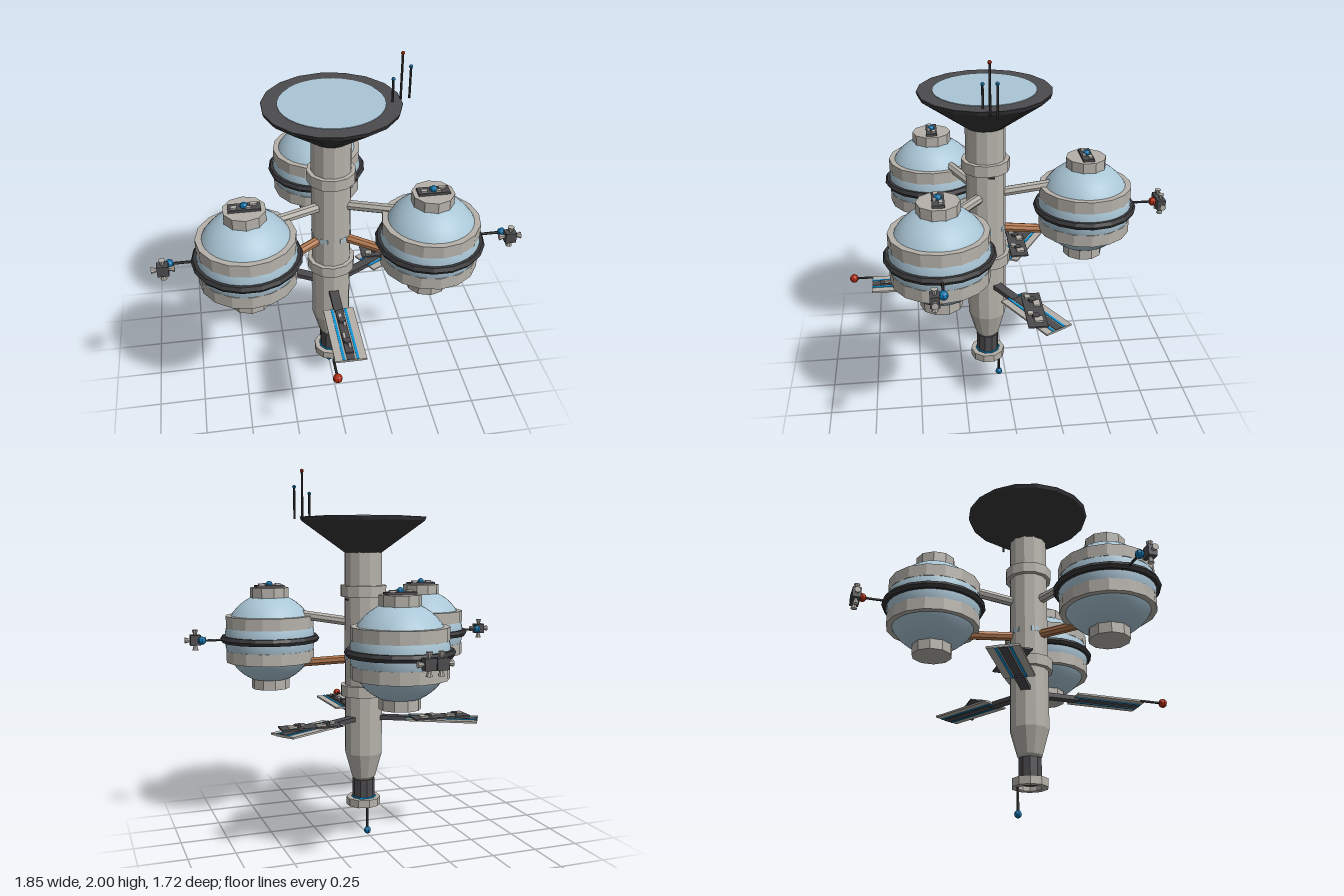
import * as THREE from 'three';

const mat = (name, color) => {
  const m = new THREE.MeshStandardMaterial({ color });
  m.name = name;
  return m;
};

export function createModel() {
  const M = {
    hull: mat('hull grey', 0xb5b1aa),
    dark: mat('dark grey', 0x4c4a4d),
    black: mat('charcoal', 0x363538),
    pale: mat('pale blue', 0xaac6d6),
    blue: mat('stripe blue', 0x0a96d8),
    beacon: mat('beacon blue', 0x0c72aa),
    red: mat('beacon red', 0xb02a10),
    copper: mat('copper', 0xb4794f),
  };
  M.black.side = THREE.DoubleSide;
  const Z0 = 0.105; // depth of the central column axis
  const root = new THREE.Group();
  root.name = 'spaceStation';

  const add = (parent, name, geo, material, x = 0, y = 0, z = 0, smooth = false) => {
    let g = geo;
    if (!smooth) {
      g = geo.index ? geo.toNonIndexed() : geo;
      g.computeVertexNormals(); // crisp facets
    }
    const m = new THREE.Mesh(g, material);
    m.name = name;
    m.position.set(x, y, z);
    parent.add(m);
    return m;
  };
  const box = (p, name, m, w, h, d, x, y, z) => add(p, name, new THREE.BoxGeometry(w, h, d), m, x, y, z);
  const cyl = (p, name, m, rt, rb, y0, y1, n, x = 0, z = 0) =>
    add(p, name, new THREE.CylinderGeometry(rt, rb, y1 - y0, n), m, x, (y0 + y1) / 2, z);
  const ball = (p, name, m, r, x, y, z) => add(p, name, new THREE.SphereGeometry(r, 8, 6), m, x, y, z);
  // cylinder between two points
  const rod = (p, name, m, a, b, r, n = 6, r2 = r) => {
    const A = new THREE.Vector3(...a), B = new THREE.Vector3(...b);
    const d = B.clone().sub(A), mid = A.clone().add(B).multiplyScalar(0.5);
    const mesh = add(p, name, new THREE.CylinderGeometry(r2, r, d.length(), n), m, mid.x, mid.y, mid.z);
    mesh.quaternion.setFromUnitVectors(new THREE.Vector3(0, 1, 0), d.normalize());
    return mesh;
  };

  // central column
  const core = new THREE.Group();
  core.name = 'core';
  core.position.z = Z0;
  root.add(core);
  cyl(core, 'column', M.hull, 0.104, 0.104, 0.46, 1.58, 12);
  cyl(core, 'columnTaper', M.hull, 0.104, 0.066, 0.325, 0.46, 12);
  cyl(core, 'taperCollar', M.hull, 0.066, 0.054, 0.31, 0.325, 12);
  cyl(core, 'upperCollar', M.hull, 0.127, 0.127, 1.33, 1.39, 12);
  cyl(core, 'lowerCollar', M.hull, 0.127, 0.127, 0.785, 0.845, 12);
  cyl(core, 'engineNeck', M.dark, 0.062, 0.062, 0.2, 0.31, 10);
  cyl(core, 'engineTrim', M.blue, 0.068, 0.068, 0.2, 0.21, 10);
  // ring nozzle, open underneath
  const nozzle = [[0.06, 0.203], [0.06, 0.16], [0.095, 0.16], [0.095, 0.203], [0.06, 0.203]];
  add(core, 'nozzleRing', new THREE.LatheGeometry(nozzle.map(([x, y]) => new THREE.Vector2(x, y)), 10), M.hull);
  cyl(core, 'nozzleGlow', M.blue, 0.058, 0.058, 0.19, 0.197, 10);
  cyl(core, 'nozzleThroat', M.black, 0.045, 0.045, 0.18, 0.195, 10);
  rod(core, 'keelAntenna', M.black, [0, 0.2, -0.065], [0, 0.03, -0.065], 0.007);
  ball(core, 'keelBeacon', M.beacon, 0.02, 0, 0.025, -0.065);
  box(core, 'serviceSlot', M.black, 0.008, 0.008, 0.036, 0.102, 1.315, -0.02);
  for (let i = 0; i < 6; i++) {
    const a = (i + 0.5) * Math.PI / 3;
    const w = box(core, 'columnWindow', M.pale, 0.04, 0.025, 0.006, Math.sin(a) * 0.1, 1.0, Math.cos(a) * 0.1);
    w.rotation.y = a;
  }

  // dish with glazed top
  const dish = [[0.1, 1.565], [0.335, 1.735], [0.342, 1.755], [0.255, 1.752]];
  add(core, 'dish', new THREE.LatheGeometry(dish.map(([x, y]) => new THREE.Vector2(x, y)), 18), M.black);
  add(core, 'dishRim', new THREE.RingGeometry(0.25, 0.338, 18).rotateX(-Math.PI / 2).rotateY(Math.PI / 2), M.dark, 0, 1.757, 0);
  add(core, 'dishGlass', new THREE.CylinderGeometry(0.262, 0.262, 0.006, 32), M.pale, 0, 1.757, 0);
  for (const [x, z, top, m] of [[0.29, 0.035, 1.875, M.beacon], [0.337, 0.005, 1.99, M.red], [0.388, -0.025, 1.905, M.beacon]]) {
    rod(core, 'mast', M.black, [x, 1.74, z], [x, top, z], 0.006);
    ball(core, 'mastBeacon', m, 0.01, x, top, z);
  }

  // cluster of four manoeuvring nozzles on a block
  const thruster = (x, y, z) => {
    const g = new THREE.Group();
    g.name = 'thrusterCluster';
    g.position.set(x, y, z);
    root.add(g);
    box(g, 'thrusterBlock', M.dark, 0.056, 0.056, 0.045, 0, 0, 0);
    for (const [dx, dy] of [[1, 0], [-1, 0], [0, 1], [0, -1]])
      rod(g, 'thrusterNozzle', M.hull, [dx * 0.026, dy * 0.026, 0], [dx * 0.056, dy * 0.056, 0], 0.008, 8, 0.017);
  };

  // three spherical modules
  const Y = 1.09;
  for (const a of [Math.PI, Math.PI / 3, -Math.PI / 3]) {
    const dx = Math.sin(a), dz = Math.cos(a);
    const back = Math.abs(dx) < 0.1;
    const g = new THREE.Group();
    g.name = 'sphereModule';
    g.position.set(dx * 0.53, Y, Z0 + dz * 0.53);
    root.add(g);
    add(g, 'sphere', new THREE.SphereGeometry(0.25, 32, 20), M.pale, 0, 0, 0, true);
    for (const s of [-1, 1]) {
      cyl(g, 'band', M.hull, 0.246, 0.246, s * 0.095 - 0.033, s * 0.095 + 0.033, 16);
      cyl(g, 'polarCap', M.hull, 0.106, 0.106, s * 0.25 - 0.032, s * 0.25 + 0.032, 10);
    }
    const ring = add(g, 'equatorRing', new THREE.TorusGeometry(0.255, 0.021, 6, 18), M.black);
    ring.rotation.x = Math.PI / 2;
    // hatch equipment on the upper cap
    box(g, 'hatchPlate', M.dark, 0.157, 0.014, 0.06, 0, 0.288, 0);
    for (const [x, z, w, d] of [[-0.05, 0.01, 0.03, 0.022], [0.045, -0.012, 0.035, 0.02], [0.02, 0.016, 0.025, 0.016]])
      box(g, 'hatchUnit', M.hull, w, 0.01, d, x, 0.299, z);
    ball(g, 'hatchBeacon', M.beacon, 0.02, 0, 0.298, 0);
    // side boom with beacon
    const bx = back ? 0 : Math.sign(dx), bz = back ? -1 : 0;
    rod(g, 'boom', M.black, [bx * 0.24, 0, bz * 0.24], [bx * 0.38, 0, bz * 0.38], 0.007);
    ball(g, 'boomBeacon', back ? M.red : M.beacon, 0.023, bx * 0.378, 0, bz * 0.378);
    if (back) for (const s of [-1, 1]) thruster(s * 0.03, Y, -0.838);
    else thruster(bx * 0.868, Y, 0.41);
    // struts to the column
    rod(core, 'upperStrut', M.hull, [dx * 0.06, 1.188, dz * 0.06], [dx * 0.4, 1.23, dz * 0.4], 0.027, 8);
    rod(core, 'lowerStrut', M.copper, [dx * 0.06, 0.985, dz * 0.06], [dx * 0.4, 0.95, dz * 0.4], 0.025, 8);
  }

  // three radial wings, each local +z pointing outward
  for (const a of [0, 2 * Math.PI / 3, -2 * Math.PI / 3]) {
    const g = new THREE.Group();
    g.name = 'wing';
    g.position.y = 0.665;
    g.rotation.y = a;
    core.add(g);
    box(g, 'wingSpoke', M.dark, 0.05, 0.024, 0.19, 0, -0.003, 0.175);
    box(g, 'wingPanel', M.hull, 0.16, 0.01, 0.385, 0, 0, 0.4375);
    for (const side of [-1, 1]) {
      box(g, 'wingCentreStrip', M.dark, 0.042, 0.004, 0.38, 0, side * 0.006, 0.4375);
      for (const s of [-1, 1])
        box(g, 'wingStripe', M.blue, 0.013, 0.004, 0.38, s * 0.035, side * 0.006, 0.4375);
    }
    // equipment pallet on top
    const pallet = new THREE.Group();
    pallet.name = 'equipmentPallet';
    pallet.position.set(0, 0.012, 0.425);
    root.updateMatrixWorld(true);
    g.add(pallet);
    if (a === 0) pallet.rotation.y = Math.PI / 2;
    else pallet.rotation.y = -a; // rear pallets stay square to the hull
    const depth = a === 0 ? 0.042 : 0.1, k = depth / 0.1;
    box(pallet, 'palletBase', M.dark, 0.32, 0.008, depth, 0, 0, 0);
    for (const [x, z, w, d] of [[-0.12, 0.02, 0.035, 0.03], [-0.05, -0.02, 0.05, 0.035], [0.04, 0.025, 0.03, 0.03], [0.1, -0.01, 0.045, 0.045]])
      box(pallet, 'palletUnit', M.hull, w, 0.012, d * k, x, 0.008, z * k);
    for (const [x, z] of [[-0.085, 0], [0.07, 0]])
      cyl(pallet, 'palletDrum', M.dark, 0.02, 0.02, 0.003, 0.018, 8, x, z);
  }

  // forward probe on the front wing
  rod(root, 'probe', M.black, [-0.085, 0.662, 0.71], [-0.085, 0.662, 0.84], 0.007);
  ball(root, 'probeBeacon', M.red, 0.024, -0.085, 0.662, 0.838);

  return root;
}
